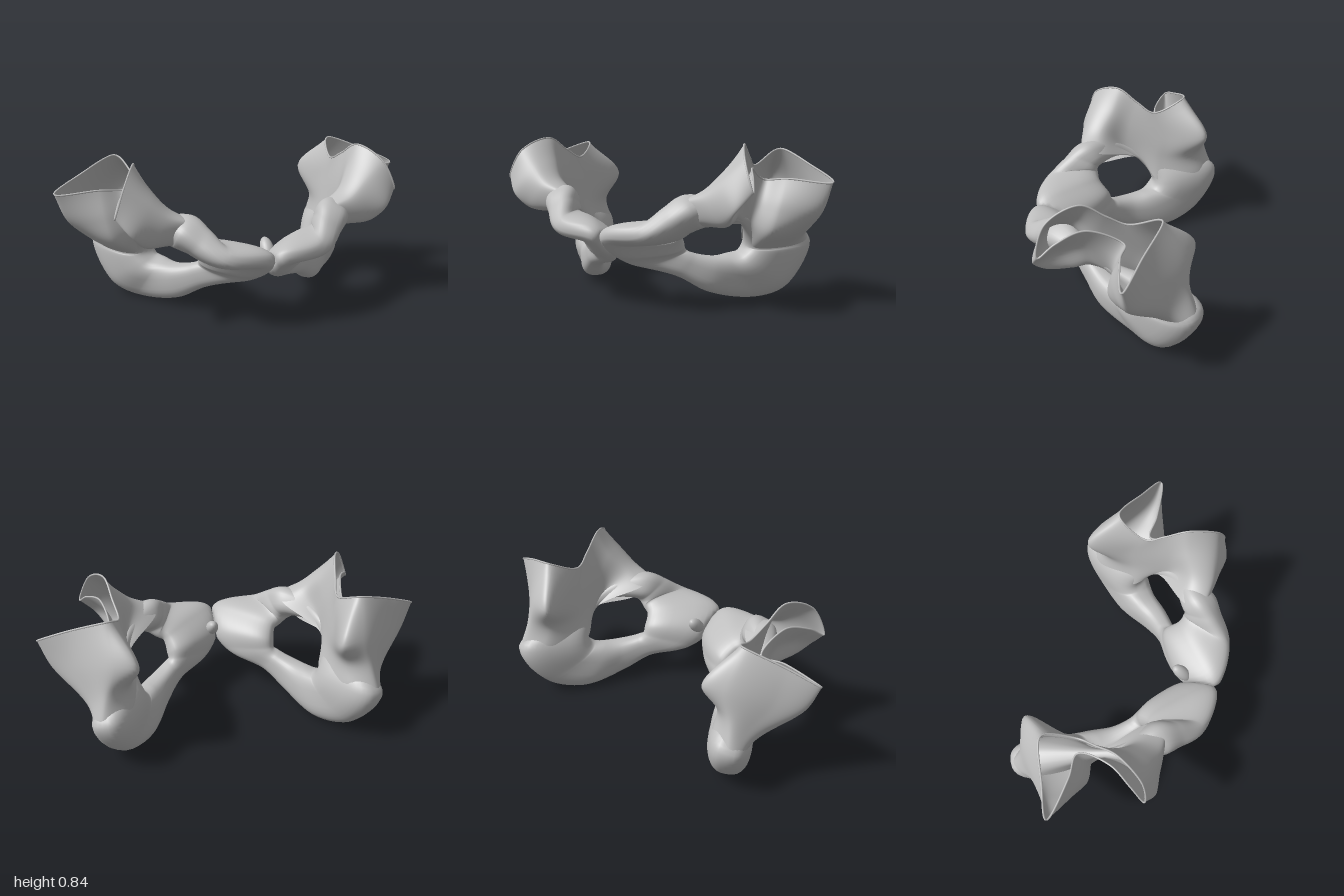
import * as THREE from 'three';

const bone = new THREE.MeshStandardMaterial({ color: 0xbfbfbf, side: THREE.DoubleSide });
bone.name = 'bone grey';

const V = (x, y, z) => new THREE.Vector3(x, y, z);
const loop = (pts, type = 'centripetal') => new THREE.CatmullRomCurve3(pts, true, type);

// Smooth grid surface; u always closes on itself, v closes when closedV is set.
function gridSurface(nu, nv, closedV, point, side) {
  const pos = [], index = [];
  const cols = closedV ? nv : nv + 1;
  for (let i = 0; i < nu; i++) {
    for (let j = 0; j < cols; j++) {
      const p = point(i / nu, j / nv);
      pos.push(p.x * side, p.y, p.z);
    }
  }
  for (let i = 0; i < nu; i++) {
    for (let j = 0; j < nv; j++) {
      const i2 = (i + 1) % nu, j2 = (j + 1) % cols;
      const a = i * cols + j, b = i2 * cols + j, c = i2 * cols + j2, d = i * cols + j2;
      if (side > 0) index.push(a, b, c, a, c, d);
      else index.push(a, c, b, a, d, c);
    }
  }
  const g = new THREE.BufferGeometry();
  g.setAttribute('position', new THREE.Float32BufferAttribute(pos, 3));
  g.setIndex(index);
  g.computeVertexNormals();
  return g;
}

// Bone around the opening: edge at the opening, outer edge, half thickness
const ringSections = [
  [0.30, 0.32, 0.12, 0.00, 0.29, 0.37, 0.080], // joint face
  [0.32, 0.38, 0.17, 0.02, 0.375, 0.475, 0.065],
  [0.35, 0.41, 0.18, 0.25, 0.41, 0.475, 0.065], // front knuckle
  [0.38, 0.43, 0.19, 0.35, 0.50, 0.38, 0.080],
  [0.42, 0.44, 0.18, 0.42, 0.57, 0.29, 0.090], // upper branch
  [0.52, 0.45, 0.08, 0.53, 0.55, 0.14, 0.050],
  [0.55, 0.42, -0.03, 0.575, 0.47, -0.03, 0.025], // under the socket
  [0.53, 0.29, -0.13, 0.72, 0.32, -0.485, 0.105], // rear body
  [0.50, 0.25, -0.11, 0.65, 0.07, -0.38, 0.110],
  [0.45, 0.24, -0.06, 0.52, 0.00, -0.23, 0.090], // seat of the bone
  [0.40, 0.24, 0.00, 0.38, 0.05, 0.01, 0.070],
  [0.33, 0.26, 0.07, 0.26, 0.14, 0.13, 0.055], // lower branch
  [0.30, 0.28, 0.10, 0.06, 0.21, 0.27, 0.060],
];
const ringInner = loop(ringSections.map((s) => V(s[0], s[1], s[2])));
const ringOuter = loop(ringSections.map((s) => V(s[3], s[4], s[5])));
const ringThick = loop(ringSections.map((s) => V(s[6], 0, 0)), 'catmullrom');

function ringCentre(u) {
  const t = (u + 1) % 1;
  return ringInner.getPoint(t).add(ringOuter.getPoint(t)).multiplyScalar(0.5);
}

// Point on the ring: u runs round the opening, turn runs round the section
function ringPoint(u, turn, size) {
  const rounded = (x) => size * Math.sign(x) * Math.abs(x) ** 0.76;
  const c = ringCentre(u);
  const a = ringOuter.getPoint(u).sub(c);
  const tangent = ringCentre(u + 0.012).sub(ringCentre(u - 0.012));
  const b = a.clone().cross(tangent).normalize().multiplyScalar(ringThick.getPoint(u).x);
  const angle = turn * Math.PI * 2;
  const p = c.addScaledVector(a, rounded(Math.cos(angle))).addScaledVector(b, rounded(Math.sin(angle)));
  p.x = Math.max(p.x, 0.005); // flat joint face
  p.y = Math.max(p.y, 0);
  return p;
}

// Open hollow shell of the socket, flaring out of the ring:
// cut top edge, upper middle, lower middle, root as ring section and turn
const shellColumns = [
  [0.77, 0.62, 0.28, 0.70, 0.53, 0.32, 0.62, 0.46, 0.29, 4, -0.25], // front corner
  [0.73, 0.68, 0.20, 0.63, 0.56, 0.20, 0.60, 0.45, 0.15, 4, -0.42], // socket floor
  [0.66, 0.72, 0.07, 0.605, 0.58, 0.07, 0.585, 0.48, 0.04, 6, -0.4],
  [0.64, 0.65, -0.11, 0.63, 0.53, -0.06, 0.60, 0.43, -0.05, 6.5, -0.45],
  [0.77, 0.66, -0.11, 0.76, 0.51, -0.06, 0.72, 0.385, -0.05, 7, -0.42], // rear wall of socket
  [0.997, 0.65, -0.15, 0.94, 0.50, -0.17, 0.84, 0.39, -0.22, 7, -0.25], // outer tip
  [0.84, 0.73, -0.22, 0.82, 0.56, -0.28, 0.76, 0.41, -0.37, 7, -0.1],
  [0.65, 0.80, -0.29, 0.64, 0.62, -0.41, 0.68, 0.46, -0.43, 7, 0], // back corner
  [0.62, 0.79, -0.27, 0.52, 0.61, -0.435, 0.57, 0.45, -0.37, 7, 0.2], // spine
  [0.58, 0.72, -0.12, 0.545, 0.56, -0.20, 0.53, 0.44, -0.17, 7, 0.42], // inner wall
  [0.60, 0.77, -0.02, 0.56, 0.62, 0.02, 0.54, 0.50, 0.03, 6, 0.4],
  [0.63, 0.84, 0.10, 0.56, 0.72, 0.13, 0.48, 0.62, 0.18, 4, 0.25], // peak
  [0.71, 0.77, 0.25, 0.60, 0.68, 0.27, 0.51, 0.60, 0.29, 4, 0],
];
const shellRows = [0, 3, 6].map((k) => loop(shellColumns.map((c) => V(c[k], c[k + 1], c[k + 2]))));
shellRows.push(loop(shellColumns.map((c) => ringPoint(c[9] / ringSections.length, c[10], 0.96))));

function shellGeometry(side) {
  return gridSurface(169, 24, false, (u, v) =>
    new THREE.CatmullRomCurve3(shellRows.map((row) => row.getPoint(u))).getPoint(v), side);
}

// Thin rounded lip along the cut edge
function rimGeometry(side) {
  const edge = loop(shellColumns.map((c) => V(c[0] * side, c[1], c[2])));
  return new THREE.TubeGeometry(edge, 168, 0.005, 6, true);
}

export function createModel() {
  const model = new THREE.Group();
  model.name = 'pelvicBones';
  const add = (parent, name, geometry) => {
    const mesh = new THREE.Mesh(geometry, bone);
    mesh.name = name;
    parent.add(mesh);
    return mesh;
  };

  for (const [side, name] of [[1, 'left'], [-1, 'right']]) {
    const half = new THREE.Group();
    half.name = name + 'Half';
    add(half, name + 'BoneRing', gridSurface(182, 32, true, (u, v) => ringPoint(u, v, 1), side));
    add(half, name + 'SocketShell', shellGeometry(side));
    add(half, name + 'SocketRim', rimGeometry(side));
    model.add(half);
  }

  // Small bump behind the joint
  const knob = add(model, 'jointKnob', new THREE.SphereGeometry(0.036, 20, 14));
  knob.position.set(0.03, 0.36, 0.265);
  knob.scale.set(1, 1, 2);
  knob.rotation.x = Math.PI / 4;
  return model;
}
